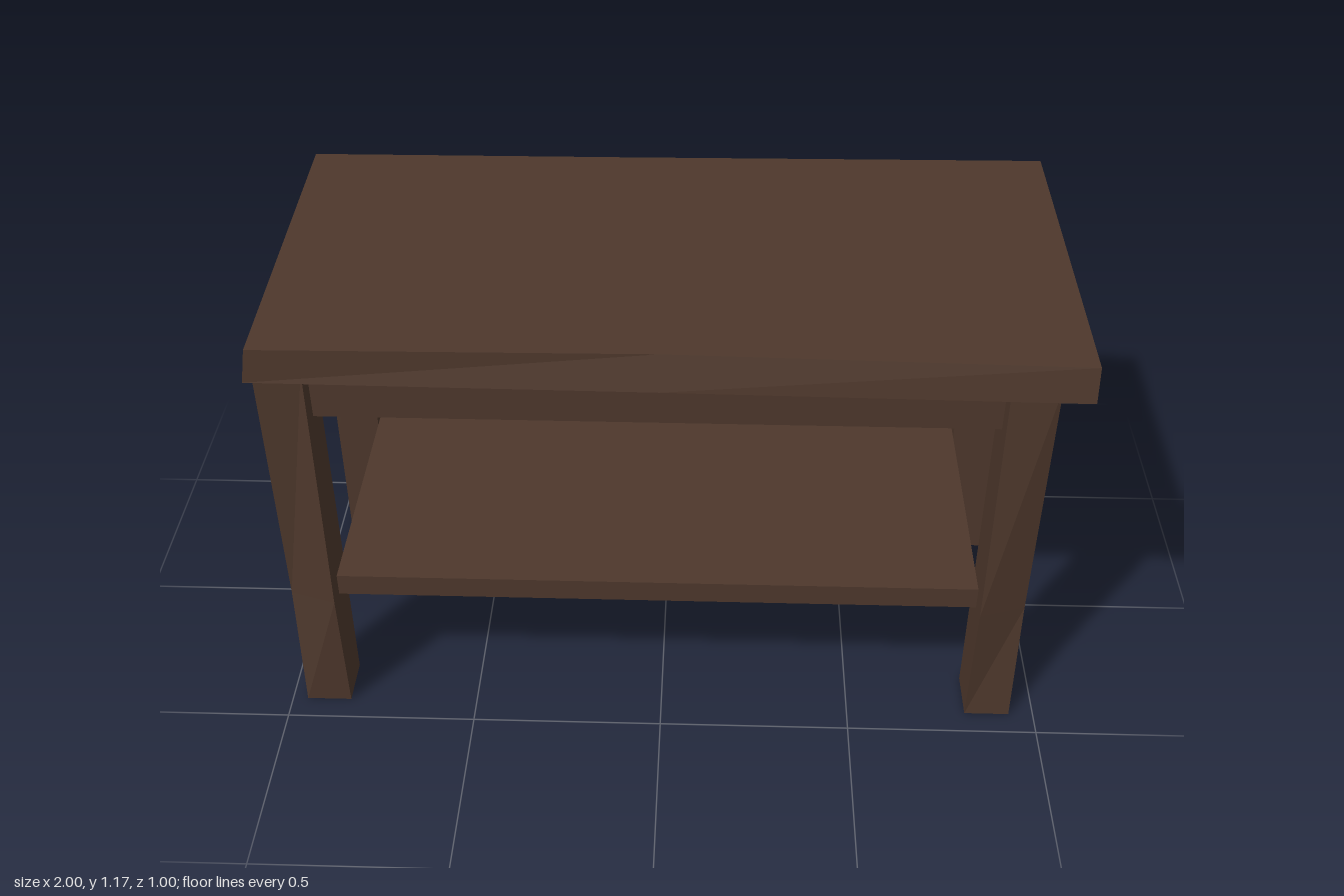
import * as THREE from 'three';

const wood = new THREE.MeshStandardMaterial({ color: 0x4e382c, flatShading: true });

// Closed solid through horizontal rings [y, [[x, z], ...]], listed bottom to top,
// each running counter-clockwise seen from above; caps fan from the first point.
function loft(rings) {
  const pos = [];
  const n = rings[0][1].length;
  const put = (r, i) => {
    const [y, pts] = rings[r];
    const [x, z] = pts[i % n];
    pos.push(x, y, z);
  };
  const last = rings.length - 1;
  for (let r = 0; r < last; r++) {
    for (let i = 0; i < n; i++) {
      put(r, i); put(r, i + 1); put(r + 1, i + 1);
      put(r, i); put(r + 1, i + 1); put(r + 1, i);
    }
  }
  for (let i = 1; i < n - 1; i++) {
    put(0, 0); put(0, i + 1); put(0, i);
    put(last, 0); put(last, i); put(last, i + 1);
  }
  const g = new THREE.BufferGeometry();
  g.setAttribute('position', new THREE.Float32BufferAttribute(pos, 3));
  g.computeVertexNormals();
  return g;
}

function add(group, name, geometry) {
  const mesh = new THREE.Mesh(geometry, wood);
  mesh.name = name;
  group.add(mesh);
}

// Box given by its extents
function board(x0, x1, y0, y1, z0, z1) {
  return new THREE.BoxGeometry(x1 - x0, y1 - y0, z1 - z0)
    .translate((x0 + x1) / 2, (y0 + y1) / 2, (z0 + z1) / 2);
}

// Leg whose outer face twists at mid height: pinched at the outer corner, swollen at the inner one
function leg(outX, inX, outZ, inZ) {
  const s = Math.sign(outZ);
  const ring = (pinch, swell) => {
    const pts = [[outX, outZ - s * pinch], [inX, outZ + s * swell], [inX, inZ], [outX, inZ]];
    return outX * outZ < 0 ? pts : pts.reverse();
  };
  return loft([[0, ring(0, 0)], [0.37, ring(0.019, 0.018)], [1.08, ring(0, 0)]]);
}

// End apron with a faceted arch cut in its lower edge
function archedApron(x0, x1) {
  const shape = new THREE.Shape([
    [-0.304, 1.08], [-0.304, 0.925], [-0.13, 0.98], [0.09, 0.98], [0.26, 0.925], [0.26, 1.08],
  ].map(([a, b]) => new THREE.Vector2(a, b)));
  return new THREE.ExtrudeGeometry(shape, { depth: x1 - x0, bevelEnabled: false })
    .rotateY(Math.PI / 2).translate(x0, 0, 0);
}

export function createModel() {
  const table = new THREE.Group();
  table.name = 'table';

  // Slightly crooked table top, narrower above than below
  add(table, 'tableTop', loft([
    [1.08, [[0, 0.487], [1, 0.5], [1, -0.502], [-0.15, -0.5], [-1, -0.5], [-0.97, 0.478]]],
    [1.17, [[0, 0.462], [1, 0.485], [1, -0.498], [-0.15, -0.483], [-0.972, -0.476], [-0.955, 0.475]]],
  ]));

  // Four legs
  for (const [xName, outX, inX] of [['Left', 0.935, 0.817], ['Right', -0.96, -0.842]]) {
    for (const [zName, outZ, inZ] of [['front', 0.435, 0.304], ['back', -0.395, -0.26]]) {
      add(table, `${zName}${xName}Leg`, leg(outX, inX, outZ, inZ));
    }
  }

  // Aprons under the top
  add(table, 'frontApron', board(-0.842, 0.817, 0.918, 1.08, 0.335, 0.385));
  add(table, 'backApron', board(-0.842, 0.817, 0.918, 1.08, -0.345, -0.295));
  add(table, 'leftApron', archedApron(0.85, 0.9));
  add(table, 'rightApron', archedApron(-0.925, -0.875));

  // Lower shelf
  add(table, 'shelf', board(-0.835, 0.81, 0.372, 0.433, -0.375, 0.42));

  return table;
}
